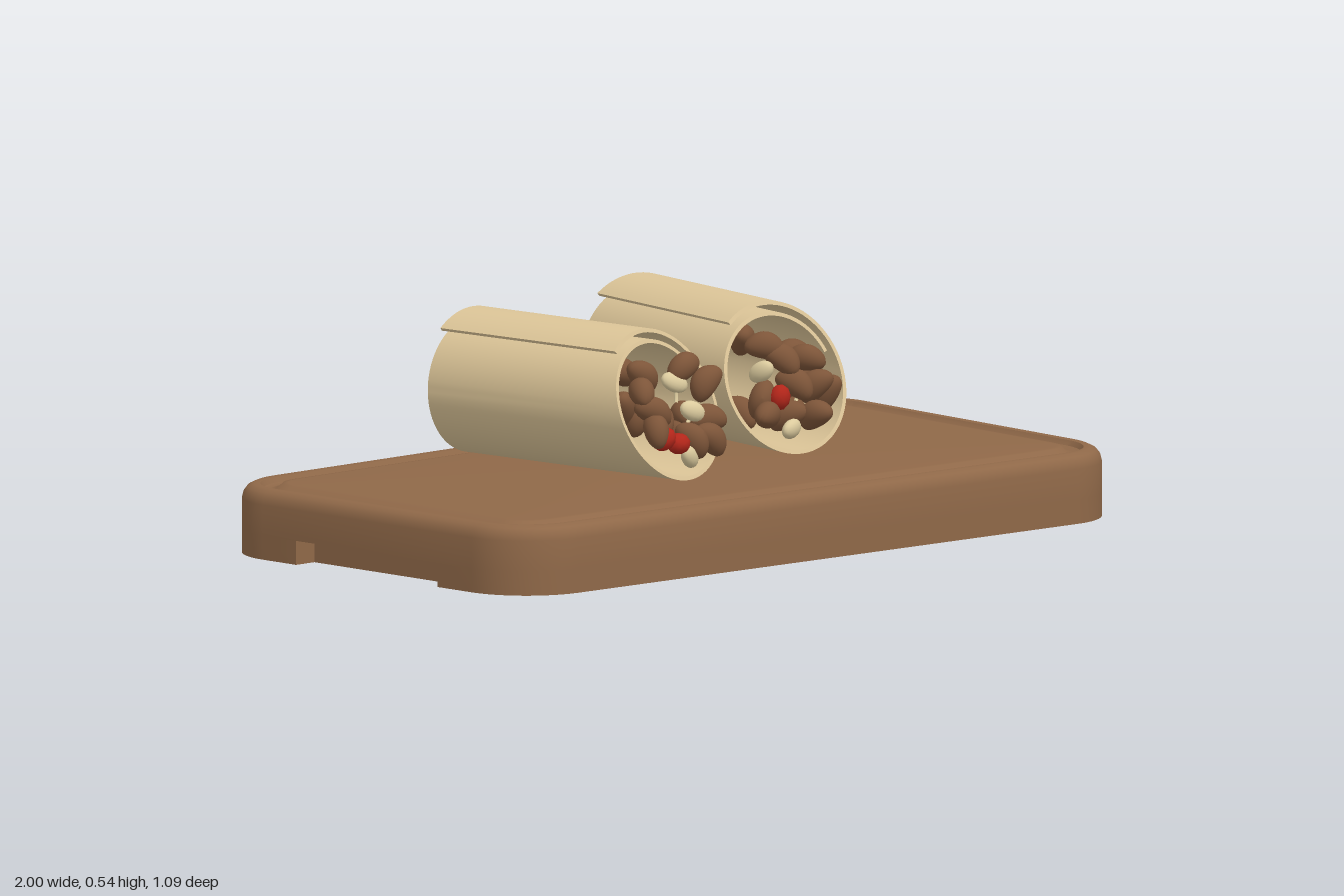
import * as THREE from 'three';
import { toCreasedNormals } from 'three/addons/utils/BufferGeometryUtils.js';

const material = (name, color) => {
  const m = new THREE.MeshStandardMaterial({ color });
  m.name = name;
  return m;
};
const HX = 1, HZ = 0.545, CORNER = 0.18, SLAB = 0.058;

function add(parent, name, geometry, mat) {
  const mesh = new THREE.Mesh(geometry, mat);
  mesh.name = name;
  parent.add(mesh);
  return mesh;
}

// The board is slightly warped: its back left corner is lifted
function warp(geo) {
  const p = geo.attributes.position;
  for (let i = 0; i < p.count; i++) {
    const lift = 0.02 * ((1 - p.getZ(i) / HZ) / 2) * ((1 + p.getX(i) / HX) / 2);
    p.setY(i, p.getY(i) + lift);
  }
  return geo;
}

// Outline of the board, moved inwards by an inset
function outline(inset) {
  const pts = [], r = CORNER - inset, n = 12;
  for (let c = 0; c < 4; c++) {
    const sx = c === 0 || c === 3 ? 1 : -1, sz = c < 2 ? 1 : -1;
    for (let i = 0; i <= n; i++) {
      const a = (c + i / n) * Math.PI / 2;
      pts.push([sx * (HX - CORNER) + r * Math.cos(a), sz * (HZ - CORNER) + r * Math.sin(a)]);
    }
  }
  return pts;
}

// Upper board: rounded rim, juice groove and flat top, as stacked rings
function boardTop() {
  const profile = [[0, SLAB], [0, 0.132], [0.004, 0.148], [0.013, 0.16], [0.028, 0.167], [0.044, 0.166],
    [0.052, 0.154], [0.066, 0.15], [0.084, 0.154], [0.098, 0.166], [0.11, 0.167]];
  const pos = [], idx = [], n = outline(0).length;
  for (const [inset, y] of profile) for (const [x, z] of outline(inset)) pos.push(x, y, z);
  for (let k = 0; k < profile.length - 1; k++) {
    for (let i = 0; i < n; i++) {
      const a = k * n + i, b = k * n + (i + 1) % n;
      idx.push(a, a + n, b, b, a + n, b + n);
    }
  }
  const top = pos.length / 3, last = (profile.length - 1) * n;
  pos.push(0, 0.167, 0, 0, SLAB, 0);
  for (let i = 0; i < n; i++) {
    const j = (i + 1) % n;
    idx.push(last + i, top, last + j, i, j, top + 1);
  }
  const geo = new THREE.BufferGeometry();
  geo.setAttribute('position', new THREE.Float32BufferAttribute(pos, 3));
  geo.setIndex(idx);
  return toCreasedNormals(warp(geo), 0.7);
}

// Lower board with a finger notch cut into each end
function boardBase() {
  const depth = 0.06, half = 0.247, pts = [];
  outline(0).forEach(([x, z], i) => {
    pts.push(new THREE.Vector2(x, z));
    if (i === 25) for (const [nx, nz] of [[-HX, half], [-HX + depth, half], [-HX + depth, -half], [-HX, -half]])
      pts.push(new THREE.Vector2(nx, nz));
  });
  for (const [nx, nz] of [[HX, -half], [HX - depth, -half], [HX - depth, half], [HX, half]])
    pts.push(new THREE.Vector2(nx, nz));
  const geo = new THREE.ExtrudeGeometry(new THREE.Shape(pts), { depth: SLAB, bevelEnabled: false });
  geo.rotateX(-Math.PI / 2);
  return toCreasedNormals(warp(geo), 0.6);
}

// Rolled wrap: spiral band with a slanted front cut
const SLANT = 0.41;
function wrap(length) {
  const outer = [], inner = [], n = 96, turns = 1.3, thick = 0.009;
  for (let i = 0; i <= n; i++) {
    const t = turns * i / n, a = (130 / 360 - t) * Math.PI * 2, r = 0.185 - 0.025 * t;
    outer.push(new THREE.Vector2(r * Math.cos(a), r * Math.sin(a)));
    inner.unshift(new THREE.Vector2((r - thick) * Math.cos(a), (r - thick) * Math.sin(a)));
  }
  const geo = new THREE.ExtrudeGeometry(new THREE.Shape([...outer, ...inner]), { depth: 1, bevelEnabled: false });
  const p = geo.attributes.position;
  for (let i = 0; i < p.count; i++) p.setZ(i, p.getZ(i) * (length - SLANT * p.getY(i)));
  return toCreasedNormals(geo, 0.6);
}

// Kidney-shaped bean
function beanGeometry() {
  const geo = new THREE.SphereGeometry(1, 20, 14);
  const p = geo.attributes.position;
  for (let i = 0; i < p.count; i++) {
    const x = p.getX(i);
    p.setXYZ(i, x * 0.05, p.getY(i) * 0.033 - 0.01 * x * x, p.getZ(i) * 0.03);
  }
  geo.computeVertexNormals();
  return geo;
}

export function createModel() {
  const wood = material('wood', 0x8f6848);
  const dough = material('wrap dough', 0xdbc497);
  const brown = material('bean brown', 0x7d5539);
  const red = material('pepper red', 0xb3261a);
  const cream = material('onion cream', 0xdccb9e);
  const model = new THREE.Group();
  model.name = 'wrapsOnBoard';

  const board = new THREE.Group();
  board.name = 'cuttingBoard';
  add(board, 'boardTop', boardTop(), wood);
  add(board, 'boardBase', boardBase(), wood);
  model.add(board);

  let seed = 7;
  const rand = () => (seed = (seed * 16807) % 2147483647) / 2147483647;
  const bean = beanGeometry();
  const chip = new THREE.SphereGeometry(1, 16, 10).scale(0.036, 0.024, 0.018);
  const cube = new THREE.IcosahedronGeometry(0.032, 1).scale(1, 0.8, 0.9);
  const sliver = new THREE.TorusGeometry(0.05, 0.005, 6, 16, 2);

  // Position and filling of each roll, filling as [x, y] across the opening
  const rolls = [
    { name: 'rightWrap', x: -0.283, z: -0.39, turn: 0.077, length: 0.622,
      beans: [[-0.06, 0.08], [0.045, 0.095], [-0.09, 0.005], [-0.105, -0.035], [-0.05, -0.02], [0.095, 0.055],
        [0.095, -0.03], [0.01, -0.07], [0.08, -0.075], [-0.1, 0.05]],
      chips: [[0.012, 0.06], [0.045, -0.01], [-0.01, -0.11]],
      cubes: [[-0.09, -0.06], [-0.045, -0.075]] },
    { name: 'leftWrap', x: 0.378, z: -0.518, turn: -0.174, length: 0.628,
      beans: [[-0.055, 0.09], [-0.02, 0.06], [0.065, 0.05], [-0.085, -0.035], [-0.1, -0.065], [-0.02, -0.075],
        [0.06, -0.01], [0.1, -0.03], [0.04, -0.075], [0.005, 0]],
      chips: [[-0.08, 0.03], [-0.03, -0.105]],
      cubes: [[-0.05, -0.03]] },
  ];
  for (const r of rolls) {
    const roll = new THREE.Group();
    roll.name = r.name;
    roll.position.set(r.x, 0.355, r.z);
    roll.rotation.y = r.turn;
    add(roll, 'wrapShell', wrap(r.length), dough);

    const place = (name, geo, mat, [x, y], out) => {
      const m = add(roll, name, geo, mat);
      m.position.set(x, y, r.length - SLANT * y + out);
      m.rotation.set(rand() * 1.2 - 0.6, rand() * 2.4 - 1.2, rand() * 2.4 - 1.2);
    };
    // Front layer of beans and a second layer behind
    r.beans.forEach((b, i) => {
      place('bean', bean, brown, b, 0.015 + 0.05 * rand());
      if (i % 2 === 0) place('innerBean', bean, brown, [b[0] * 1.05, b[1] * 1.05], -0.05);
    });
    r.chips.forEach(c => place('onionPiece', chip, cream, c, 0.04));
    r.cubes.forEach(c => place('pepperPiece', cube, red, c, 0.05));
    for (const s of [[0.05, -0.08], [0.03, 0.03]]) place('onionSliver', sliver, cream, s, 0);
    model.add(roll);
  }
  return model;
}
